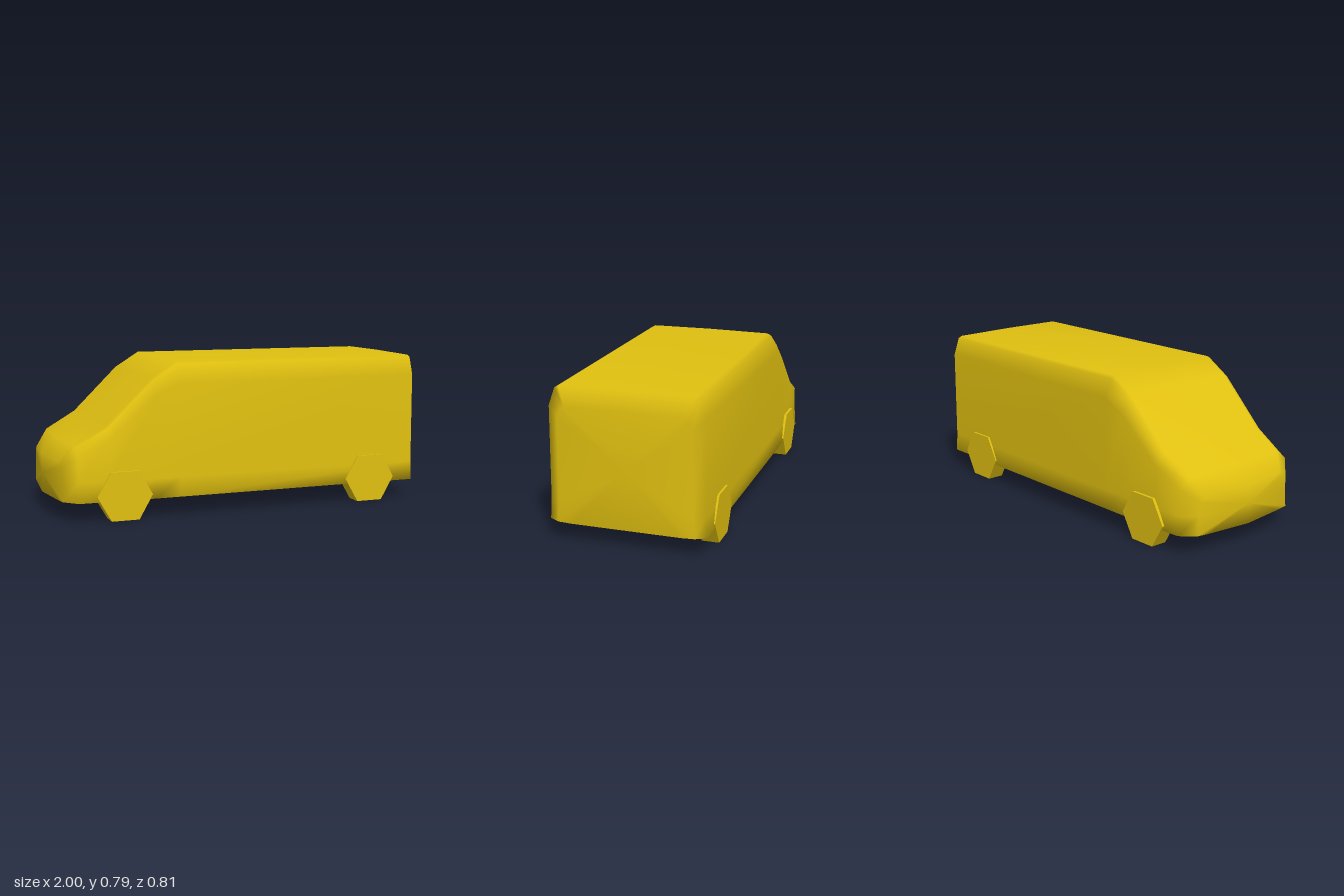
import * as THREE from 'three';

const paint = new THREE.MeshStandardMaterial({ color: 0xe0c010 });
const wheelPaint = new THREE.MeshStandardMaterial({ color: 0xe0c010, flatShading: true });

// Body stations, nose to tail: x, half width, shoulder y, roof y, roof half width, nose bow
const stations = [
  [-0.965, 0.31, 0.27, 0.30, 0.26, 0.035],
  [-0.90, 0.38, 0.33, 0.385, 0.31, 0.025],
  [-0.74, 0.387, 0.41, 0.475, 0.33, 0.01],
  [-0.50, 0.39, 0.62, 0.71, 0.335, 0],
  [-0.37, 0.39, 0.68, 0.79, 0.335, 0],
  [0.97, 0.392, 0.68, 0.785, 0.34, 0],
  [1.0, 0.34, 0.64, 0.69, 0.30, 0],
];

// Closed cross-section: roof centre, down the +z side, along the floor, up the -z side
function section([x, w, shoulder, roof, roofW, bow]) {
  const half = [
    [0, roof], [roofW, roof - 0.003], [roofW + 0.02, roof - 0.014], [w, shoulder],
    [w + 0.003, 0.2], [w + 0.01, 0.1], [w * 0.83, 0.097], [0, 0.097],
  ];
  const mirrored = half.slice(1, -1).reverse().map(([z, y]) => [-z, y]);
  return [...half, ...mirrored].map(([z, y]) =>
    [x - bow * Math.max(0, 1 - Math.abs(z) / w), y, z]);
}

function bodyGeometry() {
  const rings = stations.map(section);
  const n = rings[0].length;
  const last = (rings.length - 1) * n;
  const points = rings.flat();
  const index = [];
  for (let i = 0; i < rings.length - 1; i++) {
    for (let j = 0; j < n; j++) {
      const a = i * n + j, b = i * n + (j + 1) % n;
      index.push(a, b, a + n, b, b + n, a + n);
    }
  }
  // Nose and tail caps
  const nose = points.push([-0.998, 0.2, 0]) - 1;
  const tail = points.push([1.0, 0.4, 0]) - 1;
  for (let j = 0; j < n; j++) {
    const k = (j + 1) % n;
    index.push(nose, k, j, tail, last + j, last + k);
  }
  const geometry = new THREE.BufferGeometry();
  geometry.setAttribute('position', new THREE.Float32BufferAttribute(points.flat(), 3));
  geometry.setIndex(index);
  geometry.computeVertexNormals();
  return geometry;
}

export function createModel() {
  const van = new THREE.Group();
  van.name = 'van';

  const body = new THREE.Mesh(bodyGeometry(), paint);
  body.name = 'body';
  van.add(body);

  // Six-sided wheels, flat side on the ground
  const wheelGeometry = new THREE.CylinderGeometry(0.144, 0.144, 0.09, 6, 1, false, Math.PI / 6);
  wheelGeometry.rotateX(Math.PI / 2);
  for (const [axle, x] of [['front', -0.665], ['rear', 0.712]]) {
    for (const [side, s] of [['Left', -1], ['Right', 1]]) {
      const wheel = new THREE.Mesh(wheelGeometry, wheelPaint);
      wheel.name = `${axle}${side}Wheel`;
      // The nose points to -x, so the van's left side is +z
      wheel.name = `${axle}${s > 0 ? 'Left' : 'Right'}Wheel`;
      wheel.position.set(x, 0.125, s * 0.36);
      van.add(wheel);
    }
  }
  return van;
}
